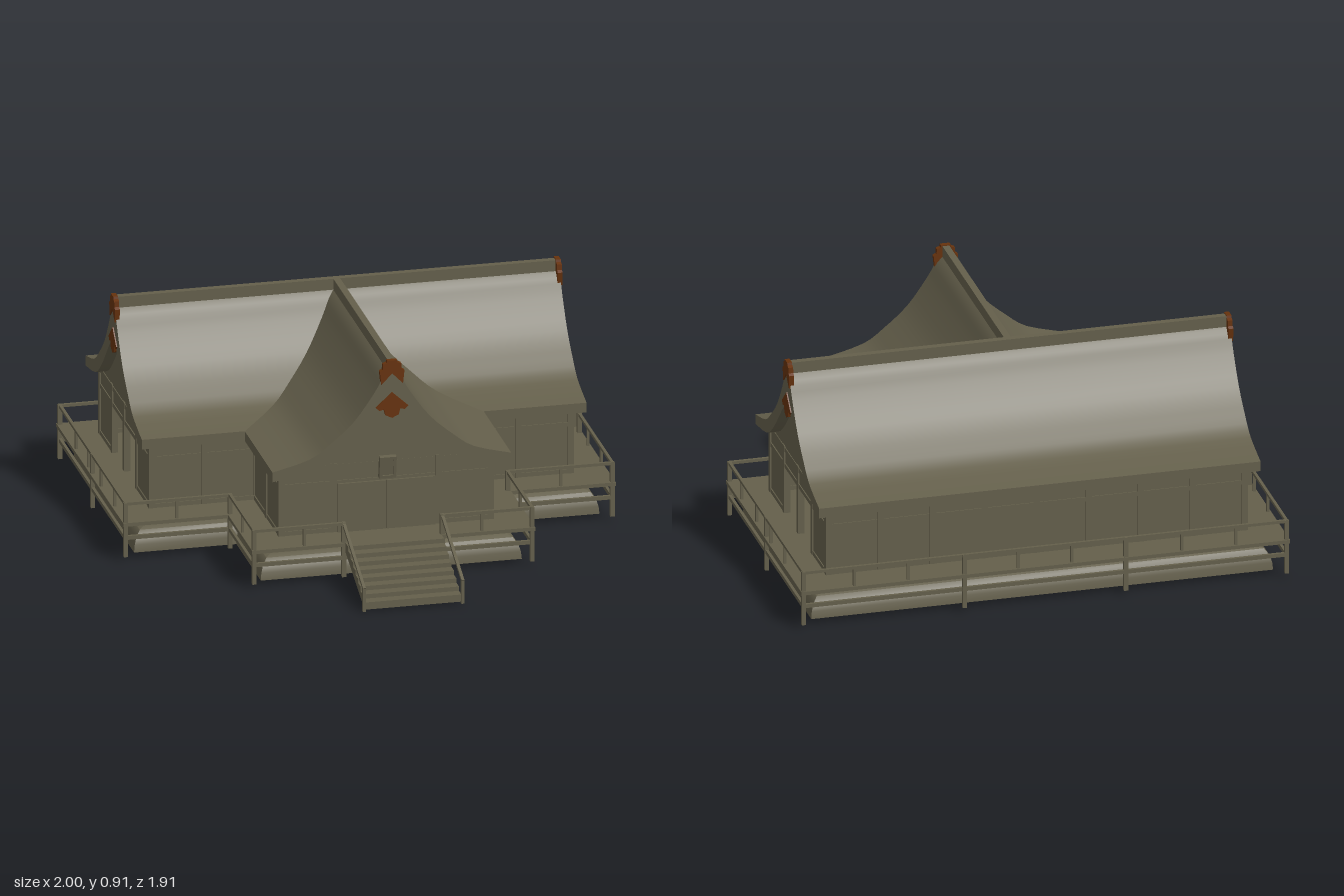
import * as THREE from 'three';
import { toCreasedNormals } from 'three/addons/utils/BufferGeometryUtils.js';

const G = 0.2125;            // bay width between columns
const RIDGE_Z = -0.38;       // main ridge line
const DECK = 0.165, WALL_TOP = 0.455;

const wood = new THREE.MeshStandardMaterial({ color: 0x645f4b });
wood.name = 'weatheredWood';
const bronze = new THREE.MeshStandardMaterial({ color: 0x66320d });
bronze.name = 'brownOrnament';

function add(parent, geometry, name, material = wood) {
  const mesh = new THREE.Mesh(geometry, material);
  mesh.name = name;
  parent.add(mesh);
  return mesh;
}

function box(parent, name, w, h, d, x, y, z, material) {
  const mesh = add(parent, new THREE.BoxGeometry(w, h, d), name, material);
  mesh.position.set(x, y, z);
  return mesh;
}

// Straight bar between two points
function bar(parent, name, a, b, w, h) {
  const p = new THREE.Vector3(...a), q = new THREE.Vector3(...b);
  const mesh = add(parent, new THREE.BoxGeometry(w, h, p.distanceTo(q) + w), name);
  mesh.position.copy(p).add(q).multiplyScalar(0.5);
  mesh.lookAt(q);
  return mesh;
}

// T-shaped footprint, inset by d, as [x, z] corners
function footprint({ hx, px, zb, zm, zp }, d = 0) {
  const half = [[hx - d, zb + d], [hx - d, zm - d], [px - d, zm - d], [px - d, zp - d]];
  return [...half, ...half.map(([x, z]) => [-x, z]).reverse()];
}

const shapeOf = (pts) => new THREE.Shape(pts.map(([x, y]) => new THREE.Vector2(x, y)));
const mirrored = (half) => shapeOf([...half, ...half.map(([x, y]) => [-x, y]).reverse()]);
const extrude = (shape, depth) => new THREE.ExtrudeGeometry(shape, { depth, bevelEnabled: false });
const smooth = (pts, n) => new THREE.SplineCurve(pts.map(([x, y]) => new THREE.Vector2(x, y)))
  .getPoints(n).map((p) => [p.x, p.y]);

// Rounded earth mound with a flat top
function buildMound(root) {
  const plan = { hx: 0.945, px: 0.53, zb: -0.9, zm: 0.15, zp: 0.57 };
  const layers = [[0, 0.02], [0.003, 0.05], [0.012, 0.08], [0.03, 0.103], [0.06, 0.117]];
  const pos = [];
  for (let k = 0; k < layers.length - 1; k++) {
    const low = footprint(plan, layers[k][0]), high = footprint(plan, layers[k + 1][0]);
    const y0 = layers[k][1], y1 = layers[k + 1][1];
    low.forEach(([ax, az], i) => {
      const j = (i + 1) % low.length;
      const [bx, bz] = low[j], [cx, cz] = high[i], [dx, dz] = high[j];
      pos.push(ax, y0, az, cx, y1, cz, bx, y0, bz, cx, y1, cz, dx, y1, dz, bx, y0, bz);
    });
  }
  const side = new THREE.BufferGeometry();
  side.setAttribute('position', new THREE.Float32BufferAttribute(pos, 3));
  add(root, toCreasedNormals(side, 0.8), 'moundSide');
  const bottom = new THREE.ShapeGeometry(shapeOf(footprint(plan))).rotateX(Math.PI / 2);
  add(root, bottom, 'moundBottom').position.y = 0.02;
  const top = new THREE.ShapeGeometry(shapeOf(footprint(plan, 0.06).map(([x, z]) => [x, -z])));
  add(root, top.rotateX(-Math.PI / 2), 'moundTop').position.y = 0.117;
}

// Veranda floor, railing and posts
function buildVeranda(root) {
  const plan = { hx: 1, px: 0.575, zb: -0.955, zm: 0.197, zp: 0.612 };
  const floor = shapeOf(footprint(plan).map(([x, z]) => [x, -z]));
  add(root, extrude(floor, 0.015).rotateX(-Math.PI / 2), 'verandaFloor').position.y = DECK - 0.015;

  const X = 0.988, P = 0.564, B = -0.943, M = 0.185, F = 0.6;
  for (const s of [1, -1]) {
    const path = [[0.2, F], [P, F], [P, M], [X, M], [X, B], [0, B]];
    for (let i = 0; i < path.length - 1; i++) {
      const [ax, az] = path[i], [bx, bz] = path[i + 1];
      bar(root, 'topRail', [s * ax, 0.243, az], [s * bx, 0.243, bz], 0.012, 0.012);
      bar(root, 'lowerBeam', [s * ax, 0.1, az], [s * bx, 0.1, bz], 0.012, 0.016);
    }
    const tall = [[0.2, F], [P, F], [P, M], [X, M], [X, RIDGE_Z], [X, B], [0.33, B]];
    for (const [x, z] of tall) box(root, 'verandaPost', 0.017, 0.228, 0.017, s * x, 0.134, z);
    const short = [[0.36, F], [P, 0.4], [0.78, M], [X, 0], [X, -0.23], [X, -0.45], [X, -0.66],
      [0.78, B], [0.56, B], [0.11, B]];
    for (const [x, z] of short) box(root, 'railPost', 0.011, 0.08, 0.011, s * x, 0.204, z);
  }
  bar(root, 'lowerBeam', [-0.2, 0.1, F], [0.2, 0.1, F], 0.012, 0.016);
}

// Front steps with sloping handrails
function buildSteps(root) {
  const n = 8, z0 = 0.61, z1 = 0.95, run = (z1 - z0) / n, rise = 0.145 / n;
  const pts = [[z0, 0.125], [z0, DECK]];
  for (let i = 0; i < n; i++) {
    pts.push([z0 + (i + 1) * run, DECK - i * rise], [z0 + (i + 1) * run, DECK - (i + 1) * rise]);
  }
  pts.push([z1, 0.008], [z1 - 0.02, 0.005]);
  const stair = extrude(shapeOf(pts.map(([z, y]) => [-z, y])), 0.39).rotateY(Math.PI / 2);
  add(root, stair, 'steps').position.x = -0.195;
  for (const s of [1, -1]) {
    bar(root, 'stepHandrail', [s * 0.2, 0.243, F_TOP], [s * 0.2, 0.098, 0.948], 0.012, 0.012);
    box(root, 'stepPost', 0.012, 0.1, 0.014, s * 0.2, 0.05, 0.947);
  }
}
const F_TOP = 0.6;

// Hollow walls, columns and beams
function buildWalls(root) {
  const W = 4 * G, P = 2 * G, B = RIDGE_Z - 2 * G, M = RIDGE_Z + 2 * G, F = M + 2 * G;
  const columns = new Map();
  const run = (a, b, y0 = DECK) => {
    bar(root, 'wallPanel', [a[0], (y0 + WALL_TOP) / 2, a[1]], [b[0], (y0 + WALL_TOP) / 2, b[1]],
      0.014, WALL_TOP - y0);
    bar(root, 'wallBeam', [a[0], 0.372, a[1]], [b[0], 0.372, b[1]], 0.022, 0.018);
    bar(root, 'eaveBeam', [a[0], 0.44, a[1]], [b[0], 0.44, b[1]], 0.022, 0.02);
    if (y0 === DECK) bar(root, 'wallSill', [a[0], 0.174, a[1]], [b[0], 0.174, b[1]], 0.022, 0.018);
    const n = Math.round(Math.hypot(b[0] - a[0], b[1] - a[1]) / G);
    for (let i = 0; i <= n; i++) {
      const x = a[0] + (b[0] - a[0]) * i / n, z = a[1] + (b[1] - a[1]) * i / n;
      columns.set(`${x.toFixed(2)},${z.toFixed(2)}`, [x, z]);
    }
  };
  run([-W, B], [W, B]);
  run([-P, F], [P, F]);
  for (const s of [1, -1]) {
    run([s * W, M], [s * W, RIDGE_Z + G]);
    run([s * W, RIDGE_Z + G], [s * W, RIDGE_Z - G], 0.363);
    run([s * W, RIDGE_Z - G], [s * W, B]);
    run([s * W, M], [s * P, M]);
    run([s * P, M], [s * P, F]);
    // Double entrance door
    box(root, 'doorLeaf', 0.198, 0.204, 0.012, s * 0.1, 0.267, F + 0.014);
  }
  for (const [x, z] of columns.values()) {
    const h = x === 0 && z > 0 ? 0.05 : WALL_TOP - 0.115;
    box(root, 'column', 0.026, h, 0.026, x, 0.115 + h / 2, z);
  }
  // Framed tablet over the door
  const tablet = new THREE.Group();
  tablet.name = 'doorTablet';
  tablet.position.set(0, 0.432, F + 0.035);
  tablet.rotation.x = 0.15;
  box(tablet, 'tabletPanel', 0.05, 0.08, 0.01, 0, 0, 0);
  for (const s of [1, -1]) {
    box(tablet, 'tabletFrameSide', 0.012, 0.094, 0.02, s * 0.028, 0, 0);
    box(tablet, 'tabletFrameEnd', 0.068, 0.012, 0.02, 0, s * 0.041, 0);
  }
  root.add(tablet);
}

// Swept gable roof along local z; each end is +1 (front) or -1 (back)
function buildRoof(root, name, z0, z1, ends) {
  const roof = new THREE.Group();
  roof.name = name;
  const outer = smooth([[0, 0.872], [0.035, 0.838], [0.075, 0.77], [0.155, 0.66], [0.25, 0.575],
    [0.335, 0.517], [0.485, 0.476]], 18);
  const inner = smooth([[0.485, 0.435], [0.31, 0.47], [0.2, 0.545], [0.085, 0.66], [0, 0.738]], 12);
  const shell = toCreasedNormals(extrude(mirrored([...outer, ...inner]), z1 - z0), 0.4);
  add(roof, shell, 'roofShell').position.z = z0;
  box(roof, 'ridgeCap', 0.028, 0.052, z1 - z0, 0, 0.88, (z0 + z1) / 2);

  const gable = mirrored([[0.425, 0.43], ...inner.filter(([x]) => x < 0.425).map(([x, y]) => [x, y + 0.005])]);
  const crest = mirrored([[0, 0.855], [0.044, 0.81], [0.05, 0.865], [0.038, 0.872], [0.037, 0.895],
    [0.022, 0.9], [0.02, 0.91]]);
  const pendant = mirrored([[0, 0.775], [0.066, 0.714], [0.052, 0.7], [0.033, 0.705], [0.027, 0.68],
    [0, 0.667]]);
  for (const e of ends) {
    const tip = e > 0 ? z1 : z0;
    const place = (shape, depth, centre, label, material) => {
      add(roof, extrude(shape, depth), label, material).position.z = tip + e * centre - depth / 2;
    };
    place(gable, 0.02, e > 0 && ends.length === 1 ? -0.11 : -0.055, 'gableWall');
    place(crest, 0.02, -0.004, 'ridgeOrnament', bronze);
    place(pendant, 0.014, -0.002, 'gablePendant', bronze);
  }
  root.add(roof);
  return roof;
}

export function createModel() {
  const root = new THREE.Group();
  root.name = 'hall';
  buildMound(root);
  buildVeranda(root);
  buildSteps(root);
  buildWalls(root);
  buildRoof(root, 'porchRoof', RIDGE_Z, 0.58, [1]);
  const main = buildRoof(root, 'mainRoof', -0.903, 0.903, [1, -1]);
  main.rotation.y = Math.PI / 2;
  main.position.z = RIDGE_Z;
  return root;
}
